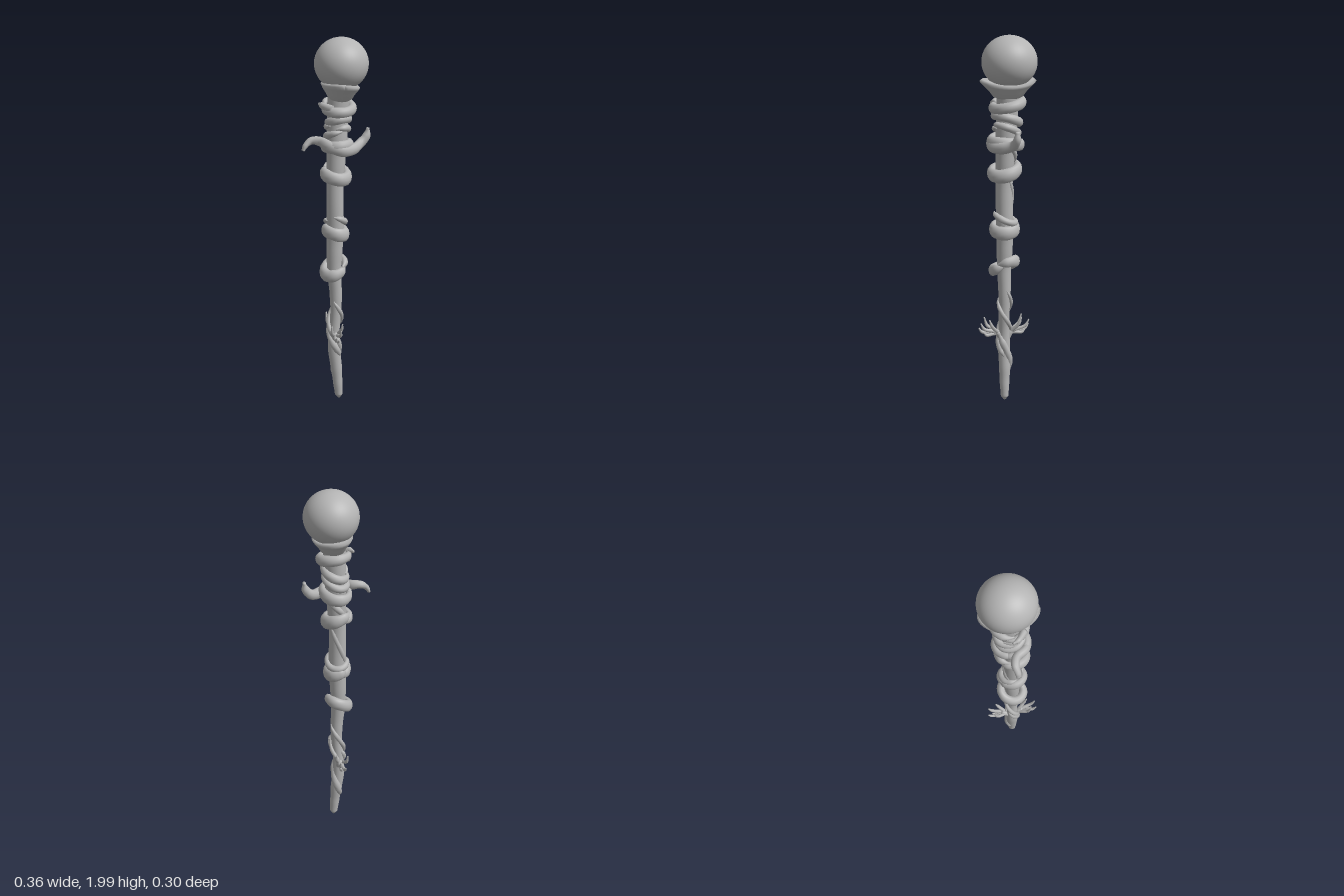
import * as THREE from 'three';

const wood = new THREE.MeshStandardMaterial({ color: 0xb4b4b4 });
wood.name = 'grey wood';
wood.side = THREE.DoubleSide;

const V = (x, y, z) => new THREE.Vector3(x, y, z);

// Smoothly interpolates a list of values, t in 0..1
function sample(list, t) {
  const f = Math.min(t, 0.99999) * (list.length - 1), i = Math.floor(f), k = f - i;
  return list[i] + (list[i + 1] - list[i]) * k * k * (3 - 2 * k);
}

// Sweeps an oval section along a curve; half-size across "ref" is wide, along it is tall
function sweep(name, pts, tall, wide, ref, segs = 40, sides = 12) {
  const curve = new THREE.CatmullRomCurve3(pts, false, 'centripetal');
  const pos = [], idx = [];
  for (let i = 0; i <= segs; i++) {
    const t = i / segs, c = curve.getPoint(t), tan = curve.getTangent(t);
    const u = ref.clone().addScaledVector(tan, -tan.dot(ref)).normalize();
    const w = new THREE.Vector3().crossVectors(tan, u);
    for (let j = 0; j < sides; j++) {
      const a = j / sides * Math.PI * 2;
      const p = c.clone().addScaledVector(u, Math.cos(a) * sample(tall, t))
        .addScaledVector(w, Math.sin(a) * sample(wide, t));
      pos.push(p.x, p.y, p.z);
      if (i < segs) {
        const q = i * sides + j, r = i * sides + (j + 1) % sides;
        idx.push(q, r, q + sides, r, r + sides, q + sides);
      }
    }
  }
  // End caps
  for (const [t, base] of [[0, 0], [1, segs * sides]]) {
    const c = curve.getPoint(t), k = pos.length / 3;
    pos.push(c.x, c.y, c.z);
    for (let j = 0; j < sides; j++) {
      const q = base + j, r = base + (j + 1) % sides;
      if (t) idx.push(k, q, r); else idx.push(k, r, q);
    }
  }
  const g = new THREE.BufferGeometry();
  g.setAttribute('position', new THREE.Float32BufferAttribute(pos, 3));
  g.setIndex(idx);
  g.computeVertexNormals();
  const m = new THREE.Mesh(g, wood);
  m.name = name;
  return m;
}

// Centre line of the slightly crooked shaft: [x, y, z, radius]
const shaft = [
  [0.013, 0.006, 0.016, 0.008], [0.012, 0.03, 0.016, 0.022], [0.006, 0.11, 0.015, 0.027],
  [-0.002, 0.2, 0.012, 0.032], [-0.014, 0.31, 0.012, 0.034], [-0.012, 0.42, 0.012, 0.03],
  [-0.004, 0.52, 0.014, 0.03], [-0.004, 0.63, 0.012, 0.034], [-0.012, 0.75, 0.012, 0.038],
  [-0.01, 0.88, 0.01, 0.044], [-0.006, 1.0, 0.01, 0.046], [-0.008, 1.12, 0.012, 0.046],
  [-0.008, 1.24, 0.012, 0.045], [-0.002, 1.37, 0.01, 0.05], [0.004, 1.5, 0.006, 0.055],
  [0.008, 1.6, 0, 0.056], [0.014, 1.7, 0, 0.058], [0.02, 1.76, 0, 0.065],
];

// Shaft centre at height y
function centre(y) {
  let i = 0;
  while (i < shaft.length - 2 && shaft[i + 1][1] < y) i++;
  const a = shaft[i], b = shaft[i + 1];
  const k = THREE.MathUtils.clamp((y - a[1]) / (b[1] - a[1]), 0, 1);
  return [a[0] + (b[0] - a[0]) * k, a[2] + (b[2] - a[2]) * k];
}

// A root coiled round the shaft; tx and tz tilt it towards +x and +z, rise climbs along it
function coil(name, { y, r, rz = r, start, turns, rise = 0, tx = 0, tz = 0, tall, wide }) {
  const n = Math.ceil(turns * 14), pts = [];
  for (let i = 0; i <= n; i++) {
    const t = i / n, a = start + t * turns * Math.PI * 2;
    const py = y + rise * (t - 0.5) + tx * Math.cos(a) + tz * Math.sin(a);
    const [cx, cz] = centre(py);
    pts.push(V(cx + Math.cos(a) * r, py, cz + Math.sin(a) * rz));
  }
  const taper = [0.25, 0.8, 1, 1.05, 1, 0.95, 1, 0.8, 0.25];
  return sweep(name, pts, taper.map(k => k * tall), taper.map(k => k * wide), V(0, 1, 0), n * 4);
}

export function createModel() {
  const group = new THREE.Group();
  group.name = 'rootStaff';

  // Shaft
  const radii = [];
  const line = new THREE.CatmullRomCurve3(shaft.map(p => V(p[0], p[1], p[2])), false, 'centripetal');
  shaft.forEach(p => radii.push(p[3]));
  group.add(sweep('shaft', line.points, radii, radii, V(0, 0, 1), 90, 16));

  // Orb
  const orb = new THREE.Mesh(new THREE.SphereGeometry(1, 40, 28), wood);
  orb.name = 'orb';
  orb.scale.set(0.139, 0.134, 0.143);
  orb.position.set(0.028, 1.866, -0.006);
  group.add(orb);

  // Cup under the orb, drawn out into lips at front and back
  const profile = [[0.045, 1.68], [0.062, 1.69], [0.076, 1.715], [0.094, 1.74], [0.102, 1.755], [0.092, 1.765], [0.06, 1.755]];
  const cupGeo = new THREE.LatheGeometry(profile.map(p => new THREE.Vector2(p[0], p[1])), 36);
  const cp = cupGeo.attributes.position;
  for (let i = 0; i < cp.count; i++) {
    const x = cp.getX(i), y = cp.getY(i), z = cp.getZ(i);
    const k = THREE.MathUtils.clamp((y - 1.69) / 0.07, 0, 1), s = Math.abs(z) / Math.hypot(x, z);
    cp.setXYZ(i, x * 0.98, y + k * (0.016 * s * s - 0.1 * x), z * (1.25 + 0.22 * k * s));
  }
  cupGeo.computeVertexNormals();
  const cup = new THREE.Mesh(cupGeo, wood);
  cup.name = 'orbCup';
  cup.position.x = 0.022;
  group.add(cup);

  // Coiled roots, from the bottom up
  const P = Math.PI;
  const coils = [
    { y: 0.775, r: 0.054, rz: 0.06, start: 0.2, turns: 1.1, rise: 0.02, tx: 0.022, tz: -0.015, tall: 0.034, wide: 0.025 },
    { y: 0.98, r: 0.052, rz: 0.062, start: P * 1.2, turns: 1.15, rise: -0.02, tx: -0.015, tall: 0.036, wide: 0.023 },
    { y: 1.04, r: 0.05, rz: 0.054, start: P * 0.9, turns: 0.85, rise: 0.02, tx: -0.012, tz: 0.02, tall: 0.018, wide: 0.018 },
    { y: 1.295, r: 0.06, rz: 0.068, start: P * 1.1, turns: 1.15, rise: -0.03, tx: -0.016, tz: -0.01, tall: 0.036, wide: 0.026 },
    { y: 1.515, r: 0.052, rz: 0.062, start: P * 0.4, turns: 1.1, rise: 0.02, tx: 0.012, tz: 0.02, tall: 0.02, wide: 0.02 },
    { y: 1.57, r: 0.054, rz: 0.065, start: P * 0.8, turns: 1.2, rise: 0.03, tx: 0.012, tz: 0.015, tall: 0.023, wide: 0.021 },
    { y: 1.645, r: 0.072, rz: 0.074, start: P * 0.95, turns: 1.1, rise: -0.03, tx: -0.004, tz: -0.01, tall: 0.028, wide: 0.024 },
  ];
  coils.forEach((c, i) => group.add(coil('coiledRoot' + (i + 1), c)));

  // Thorn on the upper coil
  group.add(sweep('smallThorn', [V(-0.09, 1.665, 0), V(-0.075, 1.66, 0.03), V(-0.03, 1.645, 0.065)],
    [0.006, 0.018, 0.022], [0.005, 0.014, 0.018], V(0, 1, 0), 14));

  // Horned root: sweeps across the front and ends in two horns
  const horn = [V(-0.175, 1.425, 0.015), V(-0.16, 1.453, 0.012), V(-0.128, 1.475, 0.005), V(-0.085, 1.472, 0.02),
    V(-0.045, 1.455, 0.07), V(0.02, 1.435, 0.085), V(0.08, 1.432, 0.05), V(0.128, 1.452, 0), V(0.16, 1.485, -0.01), V(0.17, 1.53, -0.012)];
  group.add(sweep('hornedRoot', horn, [0.008, 0.014, 0.02, 0.026, 0.03, 0.032, 0.03, 0.026, 0.022, 0.008],
    [0.013, 0.016, 0.02, 0.022, 0.024, 0.024, 0.024, 0.022, 0.02, 0.012], V(0, 1, 0), 60));
  group.add(coil('hornedRootBack', { y: 1.445, r: 0.065, rz: 0.078, start: P * 0.9, turns: 1.2, tx: 0.005, tz: 0.01, tall: 0.032, wide: 0.023 }));

  // Thin vines climbing the shaft
  const vines = [
    { y: 0.27, r: 0.024, start: P * 1.1, turns: 0.7, rise: 0.26, tall: 0.02, wide: 0.02 },
    { y: 0.36, r: 0.028, start: P * 0.1, turns: 0.6, rise: 0.2, tall: 0.018, wide: 0.018 },
    { y: 0.5, r: 0.035, start: P * 0.45, turns: 0.75, rise: 0.28, tall: 0.013, wide: 0.012 },
    { y: 0.49, r: 0.034, start: P * 1.45, turns: 0.6, rise: 0.2, tall: 0.012, wide: 0.011 },
    { y: 1.14, r: 0.04, start: P * 1.1, turns: 0.4, rise: 0.26, tall: 0.013, wide: 0.012 },
    { y: 1.39, r: 0.05, start: P * 1.3, turns: 0.35, rise: 0.12, tall: 0.016, wide: 0.014 },
  ];
  vines.forEach((c, i) => group.add(coil('vine' + (i + 1), c)));

  // Twiggy claws at front and back: [x spread, reach, bend height, tip height]
  const fingers = [[-0.008, 0.14, 0.4, 0.425], [0.016, 0.135, 0.425, 0.46], [-0.026, 0.105, 0.43, 0.478], [0.006, 0.115, 0.385, 0.4], [0.028, 0.09, 0.445, 0.48]];
  for (const s of [1, -1]) {
    const claw = new THREE.Group();
    claw.name = s > 0 ? 'frontClaw' : 'backClaw';
    const [cx, cz] = centre(0.42);
    claw.position.set(cx, 0, cz);
    claw.add(sweep('palm', [V(0, 0.35, s * 0.015), V(0, 0.39, s * 0.035), V(0, 0.412, s * 0.062)],
      [0.018, 0.018, 0.01], [0.014, 0.016, 0.012], V(1, 0, 0), 12));
    fingers.forEach(([x, reach, bend, tip], i) => claw.add(sweep('finger' + (i + 1),
      [V(0, 0.39, s * 0.03), V(x * 0.6, (0.4 + bend) / 2 - 0.004, s * (0.03 + reach * 0.3)),
        V(x, bend, s * reach * 0.85), V(x * 1.1, tip, s * reach)],
      [0.011, 0.01, 0.009, 0.004], [0.011, 0.01, 0.009, 0.004], V(1, 0, 0), 16, 8)));
    group.add(claw);
  }
  return group;
}
